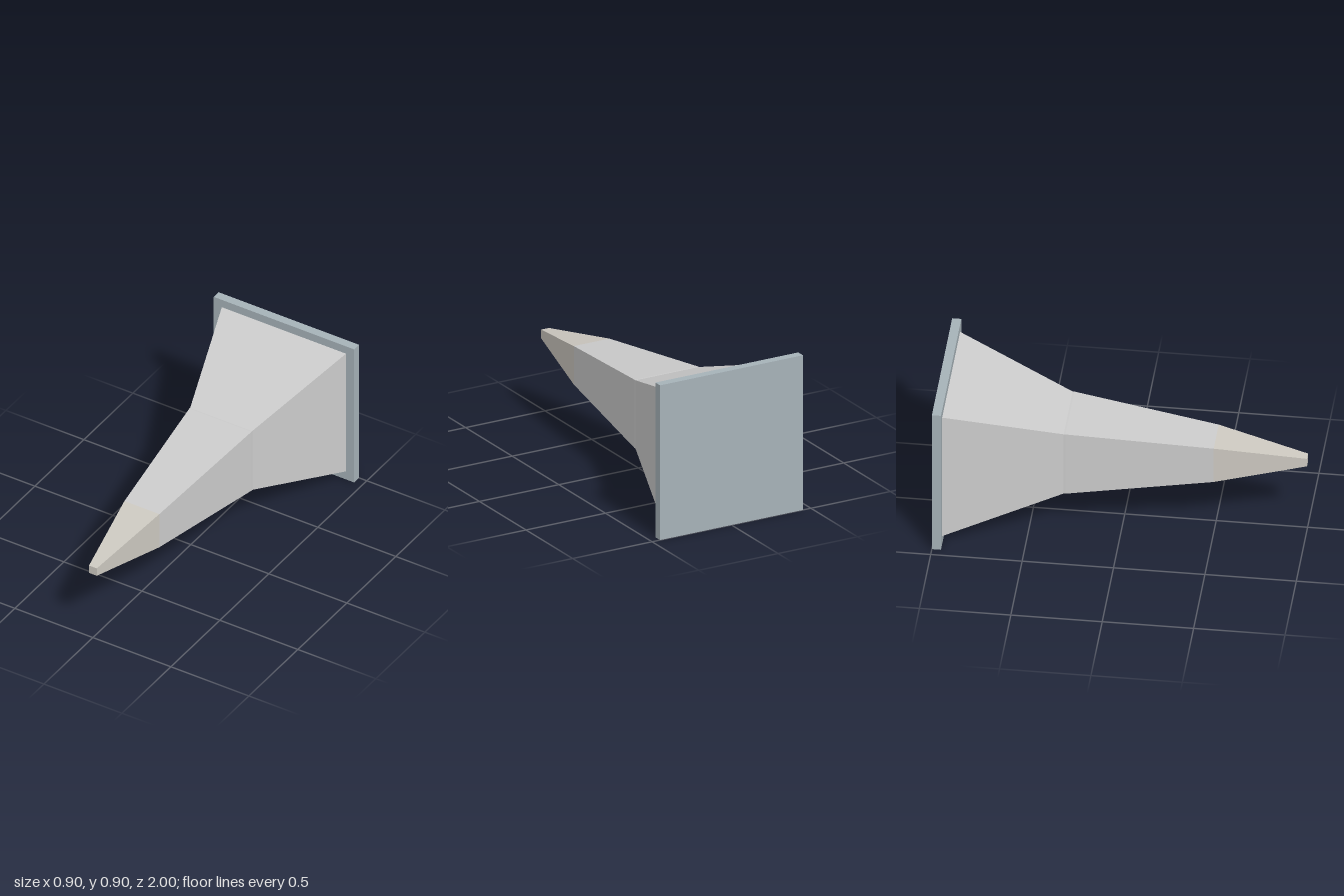
import * as THREE from 'three';

const CENTRE_Y = 0.4525;

const material = (color) => new THREE.MeshStandardMaterial({ color, flatShading: true });

// Square frustum along z, given the half widths at its back and front
function frustum(name, zBack, halfBack, zFront, halfFront, mat) {
  const s = Math.SQRT2;
  const geo = new THREE.CylinderGeometry(halfFront * s, halfBack * s, zFront - zBack, 4);
  geo.rotateY(Math.PI / 4).rotateX(Math.PI / 2);
  geo.translate(0, CENTRE_Y, (zBack + zFront) / 2);
  const mesh = new THREE.Mesh(geo, mat);
  mesh.name = name;
  return mesh;
}

// Diamond-section bar between two points
function bar(name, from, to, radius, mat) {
  const dir = to.clone().sub(from);
  const mesh = new THREE.Mesh(new THREE.CylinderGeometry(radius, radius, dir.length(), 4), mat);
  mesh.position.copy(from).add(to).multiplyScalar(0.5);
  mesh.quaternion.setFromUnitVectors(new THREE.Vector3(0, 1, 0), dir.normalize());
  mesh.name = name;
  return mesh;
}

export function createModel() {
  const model = new THREE.Group();
  model.name = 'taperedBody';
  const grey = material(0xcccccc);
  const warm = material(0xccc8c0);
  const slate = material(0xa6b2b8);
  const blue = material(0x5f90ac);

  // Square back plate
  const plate = new THREE.Mesh(new THREE.BoxGeometry(0.9, 0.9, 0.05), slate);
  plate.position.set(0, 0.45, -0.975);
  plate.name = 'backPlate';
  model.add(plate);

  // Body sections, from the back to the tip
  model.add(
    frustum('flaredBase', -0.95, 0.398, -0.31, 0.199, grey),
    frustum('collar', -0.31, 0.199, -0.3, 0.199, grey),
    frustum('middleSection', -0.3, 0.199, 0.5, 0.112, grey),
    frustum('tipSection', 0.5, 0.112, 1, 0.025, warm)
  );

  // Crosswise slats under the middle section
  const slats = new THREE.Group();
  slats.name = 'undersideSlats';
  for (let i = 0; i < 4; i++) {
    const slat = new THREE.Mesh(new THREE.BoxGeometry(0.16 + i * 0.0225, 0.013, 0.045), blue);
    slat.position.set(0, 0.322 - i * 0.0187, 0.412 - i * 0.182);
    slat.name = 'slat';
    slats.add(slat);
  }
  model.add(slats);

  // Spreading bars under the flared base
  const bars = new THREE.Group();
  bars.name = 'undersideBars';
  for (const side of [-1, 0, 1]) {
    bars.add(bar('spreadingBar',
      new THREE.Vector3(side * 0.075, 0.253, -0.315),
      new THREE.Vector3(side * 0.163, 0.047, -0.877), 0.019, blue));
  }
  model.add(bars);

  return model;
}
